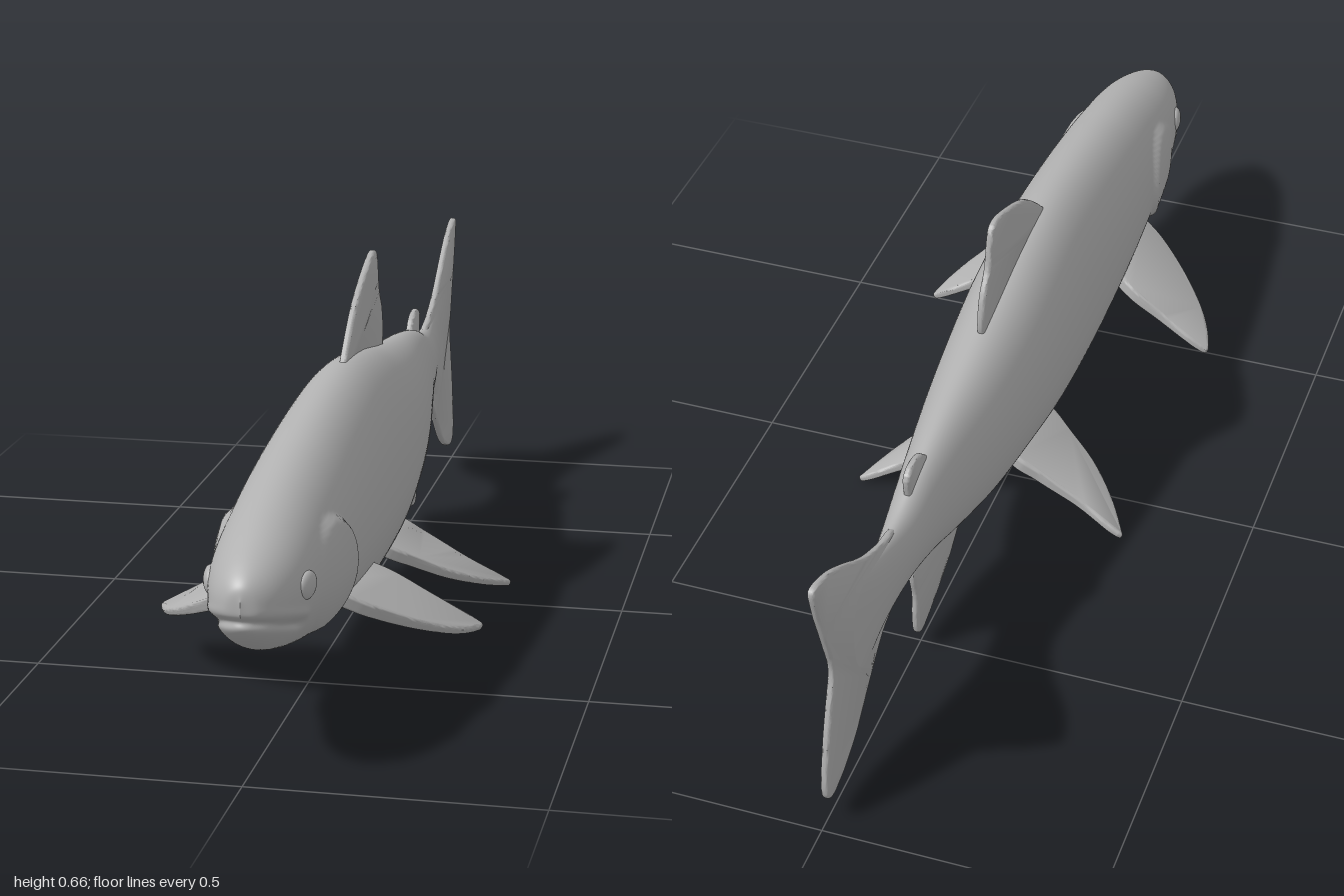
import * as THREE from 'three';
import { toCreasedNormals } from 'three/addons/utils/BufferGeometryUtils.js';

const { smoothstep, lerp } = THREE.MathUtils;
const V = (x, y, z) => new THREE.Vector3(x, y, z);

// Body stations from nose to tail: z, top, bottom, half width, height of widest point
const STATIONS = [
  [1.0, 0.315, 0.29, 0, 0.302],
  [0.99, 0.342, 0.265, 0.03, 0.302],
  [0.96, 0.364, 0.236, 0.056, 0.3],
  [0.91, 0.387, 0.207, 0.076, 0.298],
  [0.85, 0.41, 0.186, 0.09, 0.292],
  [0.78, 0.431, 0.168, 0.098, 0.287],
  [0.72, 0.446, 0.156, 0.102, 0.284],
  [0.66, 0.459, 0.146, 0.106, 0.281],
  [0.6, 0.47, 0.136, 0.109, 0.279],
  [0.5, 0.487, 0.12, 0.112, 0.277],
  [0.35, 0.506, 0.102, 0.114, 0.275],
  [0.2, 0.515, 0.098, 0.114, 0.275],
  [0.05, 0.503, 0.105, 0.111, 0.278],
  [-0.1, 0.476, 0.126, 0.101, 0.283],
  [-0.25, 0.452, 0.145, 0.085, 0.29],
  [-0.4, 0.432, 0.185, 0.063, 0.302],
  [-0.5, 0.413, 0.218, 0.048, 0.311],
  [-0.6, 0.386, 0.236, 0.035, 0.311],
  [-0.7, 0.388, 0.222, 0.022, 0.308],
  [-0.8, 0.41, 0.185, 0.011, 0.305],
  [-0.9, 0.41, 0.19, 0, 0.302],
];

function bodyGeometry(rings = 240, sides = 128) {
  const outline = new THREE.CatmullRomCurve3(STATIONS.map(s => V(s[0], s[1], s[2])), false, 'catmullrom');
  const girth = new THREE.CatmullRomCurve3(STATIONS.map(s => V(s[3], s[4], 0)), false, 'catmullrom');
  const pos = [], index = [];
  for (let i = 0; i <= rings; i++) {
    const { x: z, y: top, z: bottom } = outline.getPoint(i / rings);
    const { x: width, y: mid } = girth.getPoint(i / rings);
    for (let j = 0; j < sides; j++) {
      const a = (j / sides) * Math.PI * 2, c = Math.cos(a), s = Math.sin(a);
      const y = mid + s * (s > 0 ? top - mid : mid - bottom);
      let x = Math.max(width, 0) * c, dz = 0;
      // Gill cover: raised cheek with a crisp round rear edge
      const d = Math.hypot((z - 0.72) / 0.1, (y - 0.28) / 0.1);
      const cheek = (1 - smoothstep(d, 0.9, 1.04)) * (1 - smoothstep(z, 0.72, 0.82));
      x += Math.sign(c) * 0.01 * cheek;
      // Mouth: groove with a lip above it
      const fade = smoothstep(z, 0.85, 0.89), m = y - (0.28 + (z - 1) * 0.28);
      const groove = fade * Math.exp(-((m / 0.008) ** 2));
      const lip = fade * Math.exp(-(((m - 0.018) / 0.01) ** 2));
      x *= 1 - 0.13 * groove + 0.05 * lip;
      dz -= 0.01 * groove * smoothstep(z, 0.93, 0.99);
      pos.push(x, y, z + dz);
      if (i < rings) {
        const k = (j + 1) % sides, p = i * sides, q = p + sides;
        index.push(p + j, q + j, p + k, q + j, q + k, p + k);
      }
    }
  }
  const geo = new THREE.BufferGeometry();
  geo.setAttribute('position', new THREE.Float32BufferAttribute(pos, 3));
  geo.setIndex(index);
  geo.computeVertexNormals();
  return geo;
}

// Thin fin with rounded rim; thickness(x) scales it across its outline
function finGeometry(points, basis, thickness = () => 1) {
  const curve = new THREE.CatmullRomCurve3(points.map(p => V(p[0], p[1], 0)), true, 'centripetal');
  const shape = new THREE.Shape(curve.getPoints(90).slice(0, -1).map(p => new THREE.Vector2(p.x, p.y)));
  const geo = new THREE.ExtrudeGeometry(shape, {
    depth: 0.004, bevelThickness: 0.005, bevelSize: 0.006, bevelOffset: -0.006, bevelSegments: 4,
  });
  geo.translate(0, 0, -0.002);
  const p = geo.attributes.position;
  for (let i = 0; i < p.count; i++) p.setZ(i, p.getZ(i) * thickness(p.getX(i)));
  return toCreasedNormals(geo, 0.9).applyMatrix4(basis);
}

// Upright fins, outlined as [z, y]
const UPRIGHT = {
  dorsalFin: [[0.21, 0.5], [0.19, 0.523], [0.1, 0.597], [0.01, 0.641], [-0.075, 0.667], [-0.096, 0.66],
    [-0.108, 0.625], [-0.118, 0.585], [-0.147, 0.54], [-0.157, 0.47], [-0.14, 0.44], [0.05, 0.46]],
  adiposeFin: [[-0.44, 0.4], [-0.465, 0.422], [-0.49, 0.443], [-0.53, 0.451], [-0.555, 0.438],
    [-0.553, 0.4], [-0.54, 0.36], [-0.46, 0.37]],
  analFin: [[-0.26, 0.165], [-0.29, 0.135], [-0.35, 0.092], [-0.42, 0.062], [-0.505, 0.037], [-0.523, 0.045],
    [-0.53, 0.09], [-0.528, 0.135], [-0.54, 0.195], [-0.53, 0.225], [-0.48, 0.25], [-0.35, 0.22]],
  tailFin: [[-0.62, 0.375], [-0.69, 0.4], [-0.765, 0.434], [-0.86, 0.497], [-0.93, 0.537], [-0.992, 0.551],
    [-0.985, 0.5], [-0.945, 0.38], [-0.927, 0.315], [-0.945, 0.25], [-0.968, 0.17], [-0.981, 0.072],
    [-0.965, 0.05], [-0.92, 0.052], [-0.845, 0.086], [-0.765, 0.155], [-0.7, 0.205], [-0.62, 0.24]],
};

// Paired fins, outlined as [x, z] seen from above; y = height - slope * x
const PAIRED = {
  pectoralFin: { height: 0.253, slope: 0.55, root: 0.1, tip: 0.29,
    points: [[0.075, 0.63], [0.11, 0.622], [0.16, 0.59], [0.22, 0.535], [0.265, 0.475], [0.29, 0.415],
      [0.293, 0.392], [0.27, 0.388], [0.19, 0.4], [0.12, 0.412], [0.08, 0.44]] },
  pelvicFin: { height: 0.151, slope: 0.535, root: 0.05, tip: 0.27,
    points: [[0.03, 0.085], [0.06, 0.083], [0.11, 0.055], [0.17, 0.018], [0.225, -0.04], [0.262, -0.098],
      [0.268, -0.112], [0.25, -0.115], [0.18, -0.102], [0.1, -0.1], [0.04, -0.095]] },
};

export function createModel() {
  const fish = new THREE.Group();
  fish.name = 'fish';
  const grey = new THREE.MeshStandardMaterial({ color: 0xb0b0b0 });
  grey.name = 'plain grey';
  const add = (name, geo) => {
    const mesh = new THREE.Mesh(geo, grey);
    mesh.name = name;
    fish.add(mesh);
    return mesh;
  };

  add('body', bodyGeometry());

  const upright = new THREE.Matrix4().makeBasis(V(0, 0, 1), V(0, 1, 0), V(-1, 0, 0));
  for (const [name, points] of Object.entries(UPRIGHT)) add(name, finGeometry(points, upright));

  for (const [side, s] of [['left', 1], ['right', -1]]) {
    for (const [name, f] of Object.entries(PAIRED)) {
      const across = V(1, -s * f.slope, 0), along = V(0, 0, 1);
      const basis = new THREE.Matrix4()
        .makeBasis(across, along, across.clone().cross(along).normalize())
        .setPosition(0, f.height, 0);
      const taper = x => lerp(1.9, 1, smoothstep(Math.abs(x), f.root, f.tip));
      add(side + name[0].toUpperCase() + name.slice(1),
        finGeometry(f.points.map(([x, z]) => [s * x, z]), basis, taper));
    }
    // Eye
    const eye = add(side + 'Eye', new THREE.SphereGeometry(1, 32, 20));
    eye.scale.set(0.012, 0.024, 0.03);
    eye.position.set(s * 0.081, 0.31, 0.872);
    eye.rotation.y = -s * 0.2;
  }
  return fish;
}
